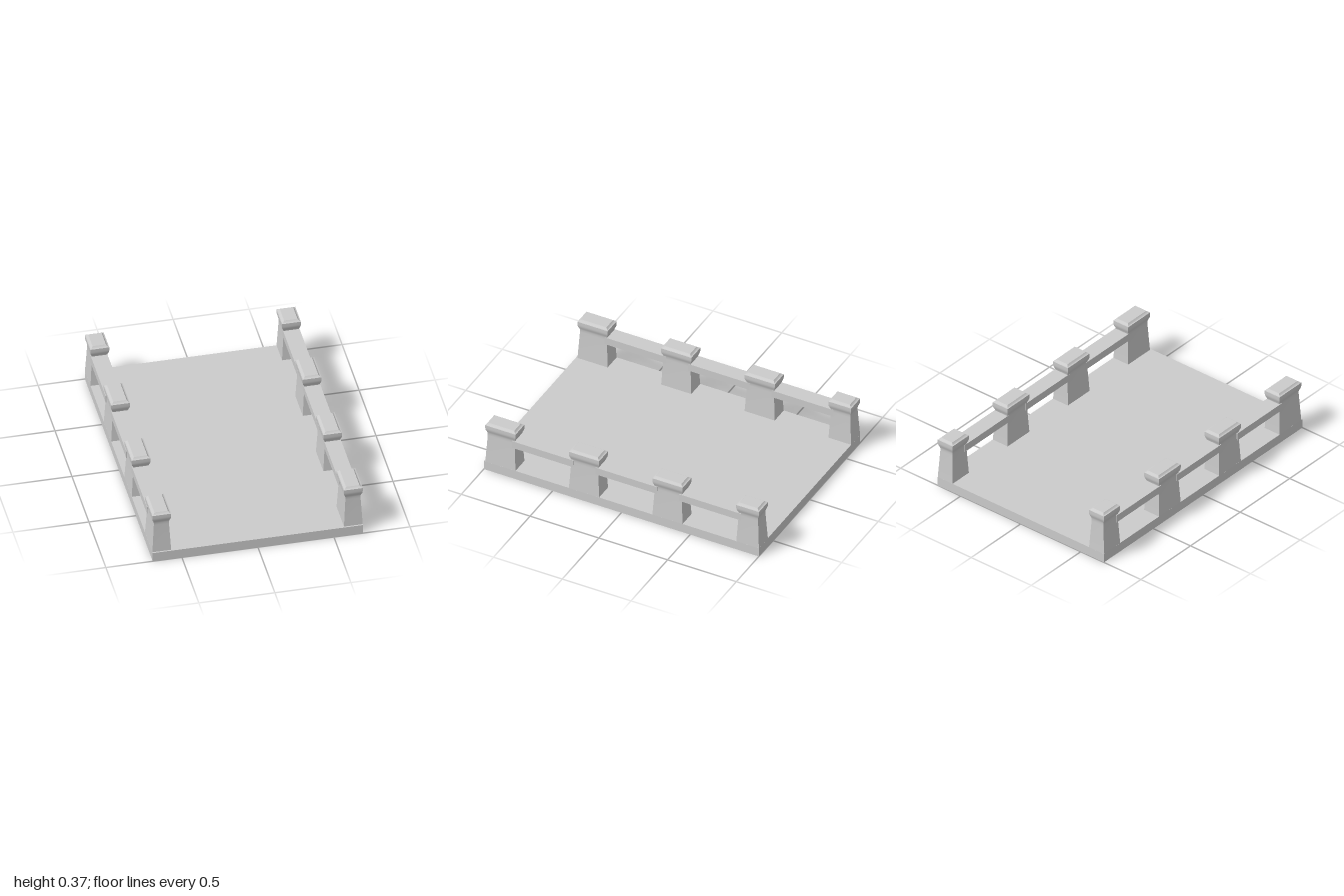
import * as THREE from 'three';
import { mergeVertices, toCreasedNormals } from 'three/addons/utils/BufferGeometryUtils.js';

const material = new THREE.MeshStandardMaterial({ color: 0xcccccc });

const DECK_TOP = 0.065, HALF_W = 0.692;

// Post profile from base to cap: [height, inset from the footprint]
const PROFILE = [
  [0.06, 0], [0.27, 0.012], [0.288, 0.012], [0.3, 0.009], [0.311, 0.004],
  [0.322, 0.001], [0.332, 0], [0.354, 0], [0.356, 0.008], [0.368, 0.018],
];

function add(group, name, geometry, x = 0, y = 0, z = 0) {
  const mesh = new THREE.Mesh(geometry, material);
  mesh.name = name;
  mesh.position.set(x, y, z);
  group.add(mesh);
  return mesh;
}

// Rectangular rings stacked along the profile, closed at both ends
function postGeometry(width, depth) {
  const positions = [], index = [];
  const corners = [[-1, 1], [1, 1], [1, -1], [-1, -1]];
  for (const [y, inset] of PROFILE) {
    for (const [sx, sz] of corners) {
      positions.push(sx * (width / 2 - inset), y, sz * (depth / 2 - inset));
    }
  }
  for (let r = 0; r < PROFILE.length - 1; r++) {
    for (let i = 0; i < 4; i++) {
      const a = r * 4 + i, b = r * 4 + (i + 1) % 4;
      index.push(a, b, b + 4, a, b + 4, a + 4);
    }
  }
  const t = (PROFILE.length - 1) * 4;
  index.push(t, t + 1, t + 2, t, t + 2, t + 3, 0, 2, 1, 0, 3, 2);
  const geometry = new THREE.BufferGeometry();
  geometry.setAttribute('position', new THREE.Float32BufferAttribute(positions, 3));
  geometry.setIndex(index);
  return toCreasedNormals(mergeVertices(geometry), 0.65);
}

export function createModel() {
  const model = new THREE.Group();
  model.name = 'bridgeSection';

  add(model, 'deck', new THREE.BoxGeometry(HALF_W * 2, DECK_TOP, 2), 0, DECK_TOP / 2, 0);

  // Post extents along z; the rearmost is shorter and flush with the deck end
  const posts = [[0.77, 0.99], [0.162, 0.382], [-0.445, -0.225], [-1, -0.835]];
  const postWidth = 0.124, railWidth = 0.108;

  for (const side of [-1, 1]) {
    const parapet = new THREE.Group();
    parapet.name = side > 0 ? 'leftParapet' : 'rightParapet';
    model.add(parapet);
    const x = side * (HALF_W - postWidth / 2);

    posts.forEach(([back, front], i) => {
      add(parapet, 'post', postGeometry(postWidth, front - back), x, 0, (front + back) / 2);
      if (i === 0) return;

      // Rail to the post in front, its ends sunk into both posts
      const start = front - 0.03, end = posts[i - 1][0] + 0.03;
      add(parapet, 'rail', new THREE.BoxGeometry(railWidth, 0.053, end - start),
        side * (HALF_W - 0.006 - railWidth / 2), 0.263, (start + end) / 2);
    });
  }
  return model;
}
